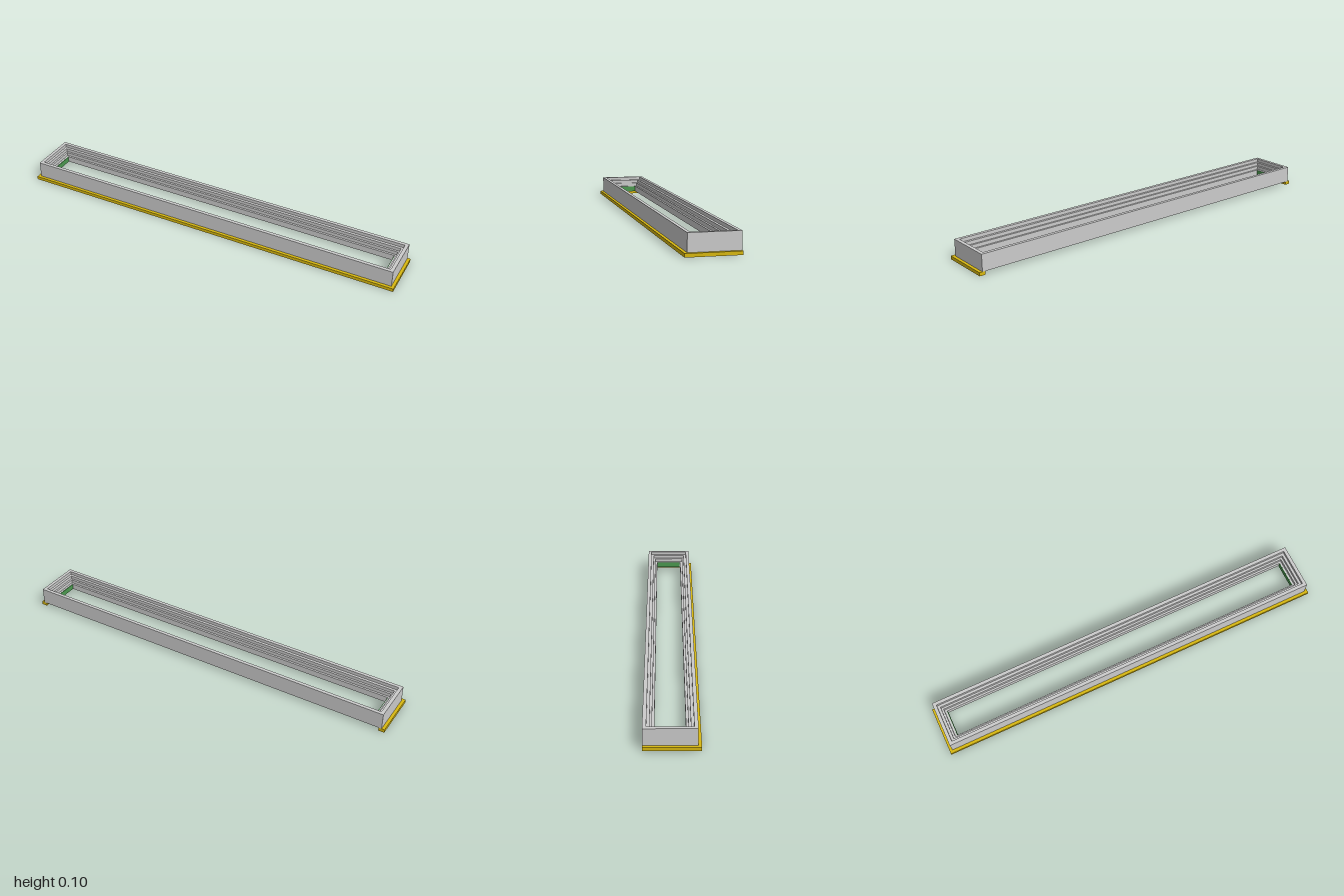
import * as THREE from 'three';

const grey = new THREE.MeshStandardMaterial({ color: 0xcccccc });
const yellow = new THREE.MeshStandardMaterial({ color: 0xd8b810 });
const green = new THREE.MeshStandardMaterial({ color: 0x4c9a50 });

// Sweep a closed [inset, y] profile around a rectangle with mitred corners.
function sweepFrame(profile, halfX, zBack, zFront) {
  const corner = (c, [inset, y]) => {
    const sx = c < 2 ? 1 : -1;
    const z = c === 0 || c === 3 ? zFront - inset : zBack + inset;
    return [sx * (halfX - inset), y, z];
  };
  const positions = [];
  for (let c = 0; c < 4; c++) {
    const next = (c + 1) % 4;
    profile.forEach((p, i) => {
      const q = profile[(i + 1) % profile.length];
      const [a, b, d, e] = [corner(c, p), corner(next, p), corner(next, q), corner(c, q)];
      positions.push(...a, ...b, ...d, ...a, ...d, ...e);
    });
  }
  const geo = new THREE.BufferGeometry();
  geo.setAttribute('position', new THREE.Float32BufferAttribute(positions, 3));
  geo.computeVertexNormals();
  return geo;
}

export function createModel() {
  const model = new THREE.Group();
  const add = (name, geo, material) => {
    const mesh = new THREE.Mesh(geo, material);
    mesh.name = name;
    model.add(mesh);
    return mesh;
  };

  // Long rectangular frame, its inner wall stepping inward toward the bottom
  const profile = [
    [0, 0.017], [0, 0.1], [0.017, 0.1], [0.017, 0.083], [0.03, 0.083],
    [0.03, 0.066], [0.04, 0.066], [0.04, 0.048], [0.05, 0.048], [0.05, 0.017],
  ];
  add('steppedFrame', sweepFrame(profile, 0.985, -0.125, 0.11), grey);

  // Trim under the front and both ends, open along the back
  const trim = new THREE.Shape([
    [-1, -0.125], [-1, 0.125], [1, 0.125], [1, -0.125],
    [0.97, -0.125], [0.97, 0.095], [-0.97, 0.095], [-0.97, -0.125],
  ].map(([x, z]) => new THREE.Vector2(x, -z)));
  const trimGeo = new THREE.ExtrudeGeometry(trim, { depth: 0.017, bevelEnabled: false });
  trimGeo.rotateX(-Math.PI / 2);
  add('bottomTrim', trimGeo, yellow);

  // Thin pads on the inner end walls
  for (const side of [-1, 1]) {
    const pad = add(side < 0 ? 'rightEndPad' : 'leftEndPad',
      new THREE.BoxGeometry(0.004, 0.028, 0.13), green);
    pad.position.set(side * 0.934, 0.033, -0.0075);
  }
  return model;
}
